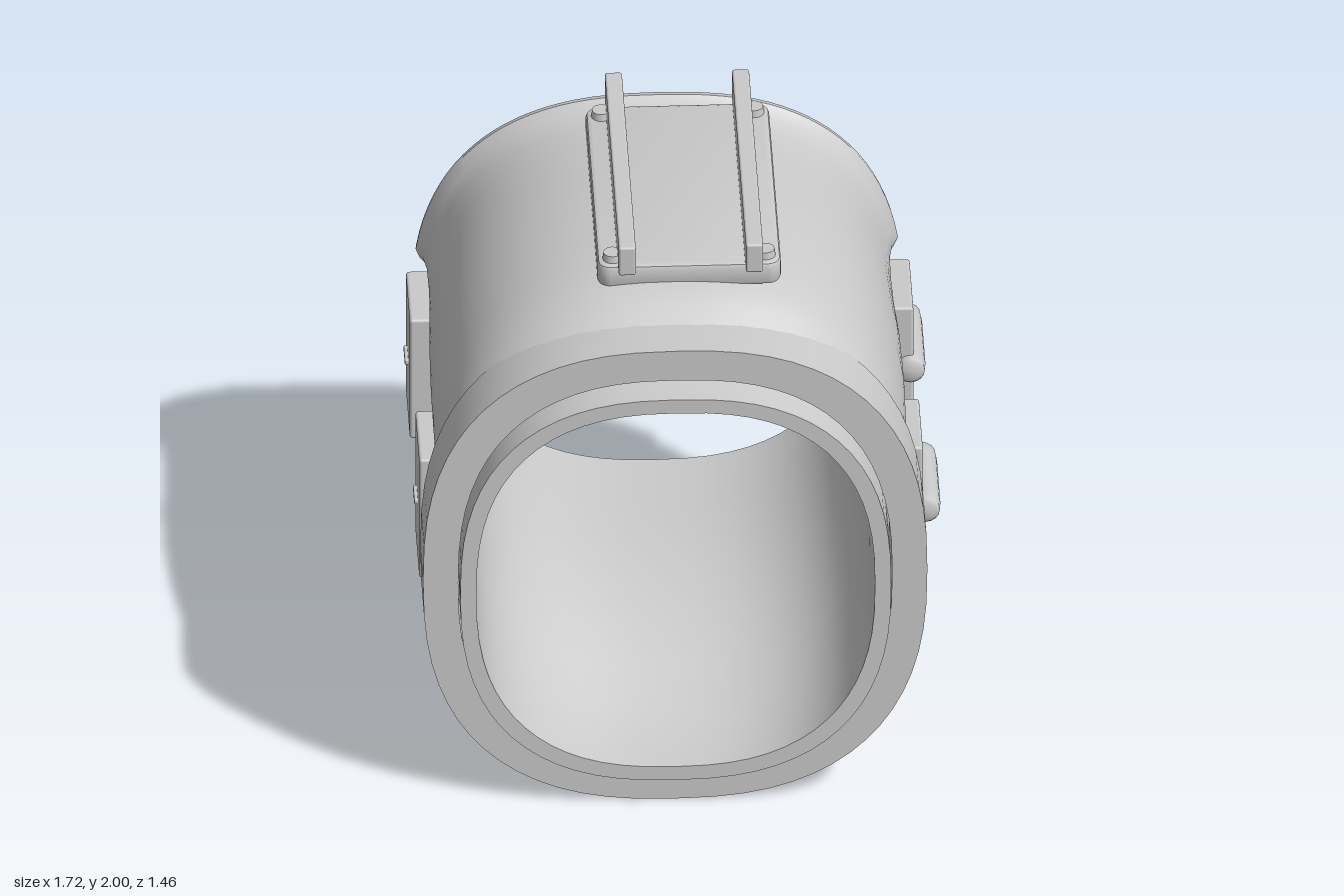
import * as THREE from 'three';
import { toCreasedNormals } from 'three/addons/utils/BufferGeometryUtils.js';
import { RoundedBoxGeometry } from 'three/addons/geometries/RoundedBoxGeometry.js';

const CX = -0.023; // centre line of the rings
const POWER = 2.5; // squareness of the cross-section

// Point at angle t on a squarish oval: row = [z, halfWidth, bottom, top]
function ringPoint([z, w, bottom, top], t, inset = 0) {
  const bend = v => Math.sign(v) * Math.abs(v) ** (2 / POWER);
  const h = (top - bottom) / 2 - inset;
  return [CX + (w - inset) * bend(Math.cos(t)), (top + bottom) / 2 + h * bend(Math.sin(t)), z];
}

// Angle above (or below) the middle where the section reaches height y
function angleAt([, , bottom, top], y) {
  const v = Math.abs(y - (top + bottom) / 2) / ((top - bottom) / 2);
  return Math.asin(Math.min(1, v) ** (POWER / 2));
}

// Hollow wall swept round from range(row)[0] to range(row)[1].
// Outer rows run back to front; inner rows use the same order.
function wall(outer, inner, steps, range, capped) {
  const profile = [...outer, ...inner.slice().reverse()];
  const count = profile.length, n = outer.length, pos = [];
  const owner = profile.map((r, j) => outer[j < n ? j : count - 1 - j]);
  const at = (i, j) => {
    j %= count;
    const [a, b] = range(owner[j]);
    let s = i / steps, inset = 0;
    if (capped) { // closely spaced, softened edge
      s = i === 0 ? 0 : i === steps ? 1 : 0.012 + 0.976 * (i - 1) / (steps - 2);
      if (j < n && (i === 0 || i === steps)) inset = 0.018;
    }
    return ringPoint(profile[j], a + (b - a) * s, inset);
  };
  const quad = (a, b, c, d) => pos.push(...a, ...b, ...c, ...a, ...c, ...d);
  for (let i = 0; i < steps; i++)
    for (let j = 0; j < count; j++)
      quad(at(i, j), at(i + 1, j), at(i + 1, j + 1), at(i, j + 1));
  if (capped) {
    for (let j = 0; j < n - 1; j++) {
      const k = count - 1 - j;
      quad(at(0, j), at(0, j + 1), at(0, k - 1), at(0, k));
      quad(at(steps, k), at(steps, k - 1), at(steps, j + 1), at(steps, j));
    }
  }
  const geo = new THREE.BufferGeometry();
  geo.setAttribute('position', new THREE.Float32BufferAttribute(pos, 3));
  return toCreasedNormals(geo, 0.7);
}

const thinner = (rows, t) => rows.map(([z, w, b, top]) => [z, w - t, b + t, top - t]);

export function createModel() {
  const model = new THREE.Group();
  const grey = new THREE.MeshStandardMaterial({ color: 0xcacaca });
  grey.name = 'light grey';
  const add = (name, geo, x = 0, y = 0, z = 0) => {
    const mesh = new THREE.Mesh(geo, grey);
    mesh.name = name;
    mesh.position.set(x, y, z);
    model.add(mesh);
    return mesh;
  };
  const box = (name, x0, x1, y0, y1, z0, z1, r) => add(name,
    new RoundedBoxGeometry(x1 - x0, y1 - y0, z1 - z0, 2, r),
    (x0 + x1) / 2, (y0 + y1) / 2, (z0 + z1) / 2);
  const full = () => [0, Math.PI * 2];

  // Inner sleeve
  const sleeve = [
    [-0.73, 0.705, 0.325, 1.76], [-0.5, 0.7, 0.325, 1.76], [-0.3, 0.695, 0.325, 1.76],
    [-0.1, 0.695, 0.31, 1.75], [0.12, 0.695, 0.27, 1.73], [0.3, 0.7, 0.21, 1.69],
    [0.47, 0.7, 0.15, 1.64], [0.6, 0.705, 0.115, 1.61], [0.73, 0.705, 0.1, 1.6],
  ];
  add('innerSleeve', wall(sleeve, thinner(sleeve, 0.053), 64, full, false));

  // Heavy front collar
  const collar = [[0.465, 0.805, 0.02, 1.745], [0.485, 0.825, 0, 1.765], [0.69, 0.825, 0, 1.765]];
  const collarHole = collar.map(([z]) => [z, 0.71, 0.095, 1.65]);
  add('frontCollar', wall(collar, collarHole, 64, full, false));

  // Upper and lower shells: [z, halfWidth, bottom, top, upperEdge, lowerEdge]
  const shell = [
    [-0.69, 0.79, 0.23, 1.845, 1.25, 0.81], [-0.682, 0.802, 0.215, 1.86, 1.25, 0.81],
    [-0.66, 0.804, 0.213, 1.865, 1.25, 0.81], [-0.62, 0.785, 0.232, 1.84, 1.25, 0.81],
    [-0.55, 0.773, 0.243, 1.83, 1.247, 0.813], [-0.43, 0.77, 0.255, 1.832, 1.245, 0.817],
    [-0.3, 0.772, 0.26, 1.84, 1.243, 0.82], [-0.1, 0.782, 0.24, 1.85, 1.238, 0.813],
    [0.12, 0.785, 0.2, 1.855, 1.212, 0.765], [0.28, 0.782, 0.145, 1.848, 1.17, 0.715],
    [0.4, 0.78, 0.1, 1.83, 1.14, 0.68], [0.47, 0.78, 0.075, 1.8, 1.13, 0.66],
    [0.54, 0.775, 0.06, 1.762, 1.12, 0.65],
  ];
  const shellInside = thinner(shell, 0.055);
  add('upperShell', wall(shell, shellInside, 44, r => {
    const a = angleAt(r, r[4]);
    return [a, Math.PI - a];
  }, true));
  add('lowerShell', wall(shell, shellInside, 44, r => {
    const a = angleAt(r, r[5]);
    return [Math.PI + a, Math.PI * 2 - a];
  }, true));

  // Side latches: hinge rods on the left, small pins on the right
  for (const [z, y] of [[0.265, 0.937], [-0.427, 1.02]]) {
    const dy = 0.234, dz = 0.146;
    box('leftLatchPlate', 0.66, 0.8, y - dy, y + dy, z - dz, z + dz, 0.01);
    box('rightLatchPlate', -0.848, -0.7, y - dy, y + dy, z - dz, z + dz, 0.01);
    const rod = new THREE.CapsuleGeometry(0.05, 0.25, 4, 16);
    rod.rotateX(Math.PI / 2);
    const flat = rod.attributes.position; // blunt the rounded ends
    for (let i = 0; i < flat.count; i++)
      if (Math.abs(flat.getZ(i)) > 0.125)
        flat.setZ(i, Math.sign(flat.getZ(i)) * (0.158 + (Math.abs(flat.getZ(i)) - 0.125) * 0.36));
    rod.computeVertexNormals();
    add('leftHingeRod', rod, z > 0 ? 0.808 : 0.79, y, z);
    box('rightPin', -0.86, -0.84, y - 0.01, y + 0.01, z - 0.045, z + 0.045, 0.005);
  }

  // Top mounting plate with rails and corner studs
  const plate = new THREE.Shape();
  const hw = 0.285, hl = 0.457, r = 0.03;
  plate.absarc(hw - r, hl - r, r, 0, Math.PI / 2);
  plate.absarc(r - hw, hl - r, r, Math.PI / 2, Math.PI);
  plate.absarc(r - hw, r - hl, r, Math.PI, Math.PI * 1.5);
  plate.absarc(hw - r, r - hl, r, Math.PI * 1.5, Math.PI * 2);
  const plateGeo = new THREE.ExtrudeGeometry(plate, {
    depth: 0.055, bevelEnabled: true, bevelSize: 0.015, bevelThickness: 0.015, bevelSegments: 2, curveSegments: 5,
  });
  plateGeo.rotateX(-Math.PI / 2);
  add('topPlate', toCreasedNormals(plateGeo, 0.6), 0.038, 1.825, -0.088);
  for (const side of [-1, 1]) {
    const x = 0.04 + side * 0.208;
    box('topRail', x - 0.028, x + 0.028, 1.89, 2, -0.6, 0.43, 0.008);
    for (const z of [-0.5, 0.33])
      add('cornerStud', new THREE.CylinderGeometry(0.03, 0.035, 0.04, 16), 0.038 + side * 0.25, 1.9, z);
  }
  return model;
}
